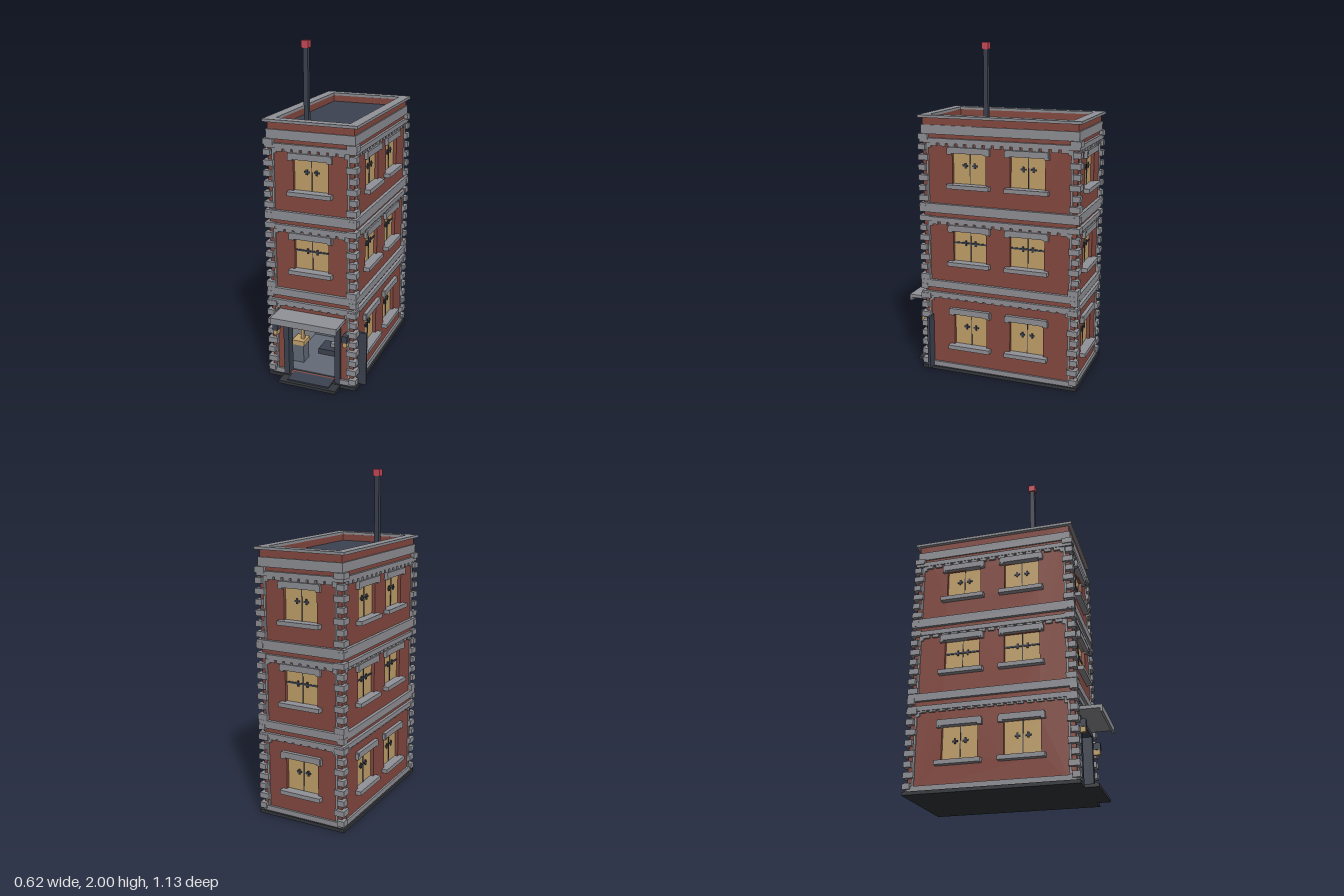
import * as THREE from 'three';

const mat = (name, color, extra = {}) => Object.assign(new THREE.MeshStandardMaterial({ color, ...extra }), { name });
const M = {
  brick: mat('brick red', 0x874a41),
  stone: mat('stone grey', 0x919298),
  slate: mat('dark slate', 0x3c4250),
  base: mat('charcoal', 0x34373c),
  pane: mat('warm pane', 0xc5a36c),
  counter: mat('counter grey', 0x646b78),
  red: mat('beacon red', 0xcb4a5a),
};

// Box given by its limits on each axis
function box(parent, name, material, x0, x1, y0, y1, z0, z1) {
  const mesh = new THREE.Mesh(new THREE.BoxGeometry(x1 - x0, y1 - y0, z1 - z0), material);
  mesh.position.set((x0 + x1) / 2, (y0 + y1) / 2, (z0 + z1) / 2);
  mesh.name = name;
  parent.add(mesh);
  return mesh;
}

function rectPath(PathType, x0, x1, y0, y1) {
  const p = new PathType();
  p.moveTo(x0, y0); p.lineTo(x1, y0); p.lineTo(x1, y1); p.lineTo(x0, y1); p.closePath();
  return p;
}

const HX = 0.26, HZ = 0.475, T = 0.0375;      // wall half sizes and thickness
const OX = 0.2825, OZ = 0.497;                // outer limits of the trim
const FLOORS = [
  { sill: 0.155, top: 0.38, cross: 0.295, low: 0.05, high: 0.48 },
  { sill: 0.69, top: 0.905, cross: 0.828, low: 0.585, high: 0.955, bar: true },
  { sill: 1.165, top: 1.375, cross: 1.30, low: 1.065, high: 1.43 },
];

// Window set into a wall whose outer face is z = 0
function addWindow(parent, cx, f) {
  const w = new THREE.Group();
  w.name = 'window';
  w.position.x = cx;
  const y0 = f.sill + 0.025;
  box(w, 'windowPane', M.pane, -0.107, 0.107, y0, f.top, -0.03, -0.02);
  box(w, 'windowMullion', M.slate, -0.002, 0.002, y0, f.top, -0.02, -0.016);
  for (const x of [-0.03, 0.03]) {
    box(w, 'windowLatch', M.slate, x - 0.016, x + 0.016, f.cross - 0.005, f.cross + 0.005, -0.02, -0.014);
    box(w, 'windowLatch', M.slate, x - 0.005, x + 0.005, f.cross - 0.016, f.cross + 0.016, -0.02, -0.013);
  }
  if (f.bar) box(w, 'windowBar', M.slate, -0.105, 0.105, f.cross - 0.005, f.cross + 0.005, -0.02, -0.015);
  box(w, 'sill', M.stone, -0.133, 0.133, f.sill, y0, -0.02, 0.036);
  box(w, 'lintel', M.stone, -0.128, 0.128, f.top, f.top + 0.036, -0.02, 0.022);
  for (const s of [-1, 1]) {
    const x = s * 0.119;
    box(w, 'lintelEnd', M.stone, x - 0.014, x + 0.014, f.top - 0.008, f.top + 0.028, -0.01, 0.02);
  }
  parent.add(w);
}

// One facade with openings, windows, panel strips and dentils
function addFacade(parent, name, angle, half, dist, centres, shapeHalf, hasDoor) {
  const g = new THREE.Group();
  g.name = name;
  g.rotation.y = angle;
  g.position.set(Math.sin(angle) * dist, 0, Math.cos(angle) * dist);
  const shape = rectPath(THREE.Shape, -shapeHalf, shapeHalf, 0.02, 1.576);
  FLOORS.forEach((f, i) => {
    if (hasDoor && i === 0) {
      shape.holes.push(rectPath(THREE.Path, -0.18, 0.18, 0.022, 0.4));
    } else {
      for (const c of centres) {
        shape.holes.push(rectPath(THREE.Path, c - 0.105, c + 0.105, f.sill + 0.02, f.top));
        addWindow(g, c, f);
      }
    }
    // panel edge strips and their corner pieces
    for (const s of [-1, 1]) {
      const x = s * (half - 0.032);
      box(g, 'panelStrip', M.stone, x - 0.006, x + 0.006, f.low, f.high, -0.005, 0.008);
      const k = s * (half - 0.046);
      box(g, 'panelCorner', M.stone, k - 0.009, k + 0.009, f.high - 0.03, f.high, -0.005, 0.008);
    }
    // dentils under the band
    const n = Math.round((half * 2 - 0.1) / 0.055), step = (half * 2 - 0.09) / n;
    const dh = i === 0 ? 0.01 : 0.018;
    for (let j = 0; j < n; j++) {
      const x = (j - (n - 1) / 2) * step;
      box(g, 'dentil', M.stone, x - 0.02, x + 0.02, f.high - dh, f.high, -0.005, 0.013);
    }
  });
  const geo = new THREE.ExtrudeGeometry(shape, { depth: T, bevelEnabled: false });
  geo.translate(0, 0, -T);
  const wall = new THREE.Mesh(geo, M.brick);
  wall.name = 'brickWall';
  g.add(wall);
  // plinth strip, broken at the doorway
  if (hasDoor) {
    box(g, 'plinth', M.stone, -half, -0.18, 0.02, 0.05, -0.01, 0.012);
    box(g, 'plinth', M.stone, 0.18, half, 0.02, 0.05, -0.01, 0.012);
  } else box(g, 'plinth', M.stone, -half, half, 0.02, 0.05, -0.01, 0.012);
  parent.add(g);
}

export function createModel() {
  const model = new THREE.Group();
  model.name = 'brickBuilding';
  const b = new THREE.Group();
  b.name = 'building';
  b.position.set(-0.0175, 0, -0.055);
  model.add(b);

  // Facades
  addFacade(b, 'frontFacade', 0, HX, HZ, [0], HX, true);
  addFacade(b, 'backFacade', Math.PI, HX, HZ, [0], HX, false);
  addFacade(b, 'leftFacade', Math.PI / 2, HZ, HX, [-0.18, 0.18], HZ - T, false);
  addFacade(b, 'rightFacade', -Math.PI / 2, HZ, HX, [-0.18, 0.18], HZ - T, false);

  // Stone bands around the storeys: bottom, top, overhang
  for (const [y0, y1, o] of [[0.48, 0.51, 0.018], [0.54, 0.585, 0.02], [0.955, 0.983, 0.018],
    [1.01, 1.065, 0.02], [1.43, 1.458, 0.016], [1.48, 1.534, 0.008]])
    box(b, 'stoneBand', M.stone, -HX - o, HX + o, y0, y1, -HZ - o, HZ + o);

  // Toothed corner stones
  for (const sx of [-1, 1]) for (const sz of [-1, 1])
    for (let i = 0; i < 24; i++) {
      const y = 0.05 + i * 0.0615, long = i % 2 ? 0.062 : 0.044;
      const m = box(b, 'cornerStone', M.stone, 0, long, y - 0.017, y + 0.017, 0, long);
      m.position.x = sx * (OX - long / 2);
      m.position.z = sz * (OZ - long / 2);
    }

  // Parapet cap and sunken roof
  const cap = rectPath(THREE.Shape, -OX, OX, -OZ, OZ);
  cap.holes.push(rectPath(THREE.Path, -0.2225, 0.2225, -0.438, 0.438));
  const capMesh = new THREE.Mesh(new THREE.ExtrudeGeometry(cap, { depth: 0.016, bevelEnabled: false }), M.stone);
  capMesh.rotation.x = -Math.PI / 2;
  capMesh.position.y = 1.576;
  capMesh.name = 'parapetCap';
  b.add(capMesh);
  box(b, 'roof', M.slate, -0.223, 0.223, 1.5, 1.537, -0.438, 0.438);

  // Mast with beacon
  box(model, 'mast', M.slate, -0.159, -0.131, 1.53, 1.96, 0.153, 0.181);
  box(model, 'beacon', M.red, -0.166, -0.124, 1.958, 2, 0.146, 0.188);

  // Ground slab and front step
  box(b, 'groundSlab', M.base, -OX, OX, 0, 0.02, -OZ, OZ);
  box(model, 'frontStep', M.base, -0.2, 0.165, 0, 0.018, 0.43, 0.52);
  box(model, 'doorMat', M.slate, -0.15, 0.115, 0.018, 0.026, 0.4, 0.5);

  // Entrance frame, sliding leaf and canopy
  for (const x of [-0.2, 0.13]) box(model, 'doorPost', M.slate, x, x + 0.033, 0.02, 0.4, 0.375, 0.435);
  box(model, 'doorHead', M.slate, -0.2, 0.163, 0.378, 0.402, 0.375, 0.435);
  box(model, 'slidingDoor', M.slate, 0.14, 0.31, 0.02, 0.357, 0.37, 0.385);
  box(model, 'canopy', M.stone, -0.225, 0.19, 0.425, 0.445, 0.41, 0.56);
  box(model, 'canopyLip', M.stone, -0.225, 0.19, 0.405, 0.445, 0.547, 0.561);

  // Wall lanterns
  for (const x of [-0.254, 0.189]) {
    box(model, 'lanternTop', M.slate, x, x + 0.031, 0.318, 0.36, 0.415, 0.472);
    box(model, 'lanternGlass', M.pane, x + 0.004, x + 0.027, 0.288, 0.318, 0.43, 0.468);
  }

  // Shop interior
  const room = new THREE.Group();
  room.name = 'interior';
  box(room, 'innerWall', M.stone, 0.19, 0.204, 0.02, 0.48, -0.49, 0.36);
  box(room, 'innerWall', M.stone, -0.239, -0.225, 0.02, 0.48, -0.49, 0.36);
  box(room, 'innerBackWall', M.stone, -0.225, 0.19, 0.02, 0.48, -0.492, -0.482);
  box(room, 'innerPane', M.pane, -0.123, 0.088, 0.18, 0.38, -0.482, -0.478);
  for (const x of [-0.04, 0.018]) {
    box(room, 'innerLatch', M.slate, x - 0.016, x + 0.016, 0.29, 0.3, -0.478, -0.474);
    box(room, 'innerLatch', M.slate, x - 0.005, x + 0.005, 0.279, 0.311, -0.478, -0.473);
  }
  box(room, 'shopFloor', M.counter, -0.225, 0.19, 0.02, 0.024, -0.482, 0.37);
  box(room, 'counter', M.counter, -0.225, 0.19, 0.024, 0.13, -0.2, -0.1);
  box(room, 'counterTop', M.pane, -0.225, 0.19, 0.13, 0.14, -0.21, -0.09);
  box(room, 'till', M.stone, 0, 0.085, 0.14, 0.21, -0.18, -0.12);
  box(room, 'tray', M.slate, -0.06, 0, 0.14, 0.165, -0.17, -0.12);
  box(room, 'lowTable', M.slate, -0.1, 0.09, 0.024, 0.06, 0.02, 0.14);
  box(room, 'bowl', M.stone, -0.035, 0, 0.06, 0.085, 0.06, 0.095);
  box(room, 'pedestal', M.counter, -0.215, -0.14, 0.024, 0.14, 0.2, 0.28);
  box(room, 'displayBox', M.pane, -0.215, -0.135, 0.14, 0.17, 0.195, 0.285);
  box(room, 'displayPost', M.pane, -0.17, -0.15, 0.17, 0.265, 0.23, 0.25);
  model.add(room);
  return model;
}
